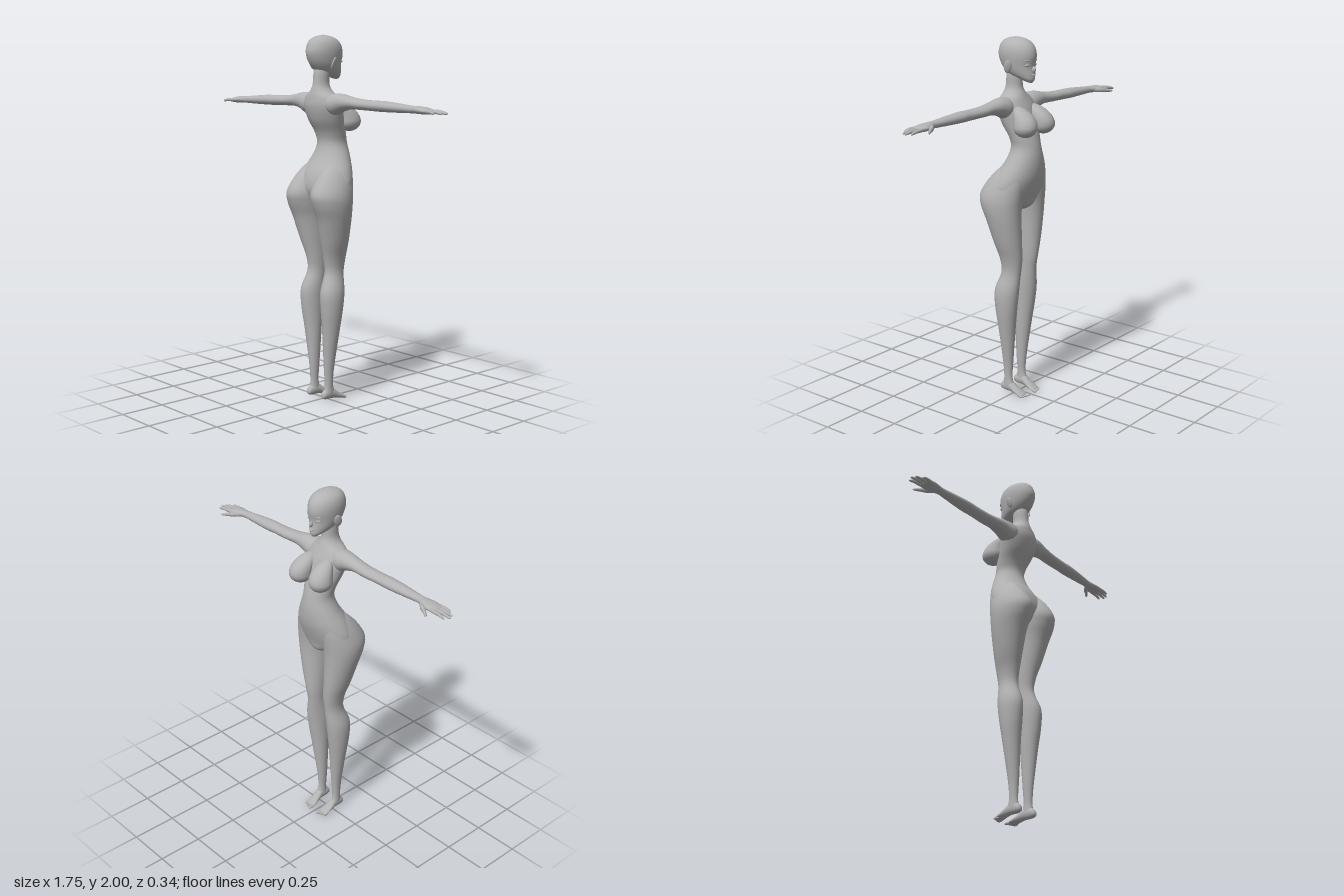
import * as THREE from 'three';

const skin = new THREE.MeshStandardMaterial({ color: 0xb2b2b2 });
skin.name = 'plain grey';

// Smooth interpolation between four neighbouring rows
const spline = (a, b, c, d, t) =>
  0.5 * (2 * b + (c - a) * t + (2 * a - 5 * b + 4 * c - d) * t * t + (3 * b - a - 3 * c + d) * t * t * t);

// Skin oval sections along an axis. Row: [position, a0, a1, b0, b1], the box each oval fills.
// order names the axes of (position, a, b); side = -1 mirrors in x.
function loft(order, rows, side = 1, sides = 28, steps = 5) {
  const axis = [...order].map(c => 'xyz'.indexOf(c));
  const sections = [];
  const row = i => rows[Math.min(Math.max(i, 0), rows.length - 1)];
  for (let i = 0; i < rows.length - 1; i++)
    for (let s = 0; s < steps; s++)
      sections.push(row(i).map((_, k) => spline(row(i - 1)[k], row(i)[k], row(i + 1)[k], row(i + 2)[k], s / steps)));
  sections.push(row(rows.length));

  const pos = [], index = [];
  const put = (t, a, b) => {
    const p = [0, 0, 0];
    p[axis[0]] = t; p[axis[1]] = a; p[axis[2]] = b;
    pos.push(p[0] * side, p[1], p[2]);
  };
  for (const [t, a0, a1, b0, b1] of sections)
    for (let j = 0; j < sides; j++) {
      const u = j / sides * Math.PI * 2;
      put(t, (a0 + a1) / 2 + Math.cos(u) * (a1 - a0) / 2, (b0 + b1) / 2 + Math.sin(u) * (b1 - b0) / 2);
    }
  const last = sections.length - 1, pole = sections.length * sides;
  for (const [t, a0, a1, b0, b1] of [sections[0], sections[last]]) put(t, (a0 + a1) / 2, (b0 + b1) / 2);
  for (let j = 0; j < sides; j++) {
    const k = (j + 1) % sides;
    for (let i = 0; i < last; i++) {
      const a = i * sides + j, b = i * sides + k, c = a + sides, d = b + sides;
      index.push(a, b, c, b, d, c);
    }
    index.push(pole, k, j, pole + 1, last * sides + j, last * sides + k);
  }

  // Face outwards whichever way the rows run
  let volume = 0;
  const v = i => new THREE.Vector3().fromArray(pos, i * 3);
  for (let i = 0; i < index.length; i += 3)
    volume += v(index[i]).dot(v(index[i + 1]).cross(v(index[i + 2])));
  if (volume < 0) index.reverse();

  const g = new THREE.BufferGeometry();
  g.setAttribute('position', new THREE.Float32BufferAttribute(pos, 3));
  g.setIndex(index);
  g.computeVertexNormals();
  return g;
}

export function createModel() {
  const model = new THREE.Group();
  model.name = 'figure';
  const add = (name, geometry) => {
    const m = new THREE.Mesh(geometry, skin);
    m.name = name;
    model.add(m);
    return m;
  };
  const oval = (name, p, r, tilt = [0, 0, 0]) => {
    const m = add(name, new THREE.SphereGeometry(1, 24, 16));
    m.position.set(...p); m.scale.set(...r); m.rotation.set(...tilt);
    return m;
  };
  const symmetric = rows => rows.map(([y, w, front, back]) => [y, -w, w, front, back]);

  // Torso and neck, the figure faces -z
  add('torso', loft('yxz', symmetric([
    [1.075, 0.015, -0.04, 0.03], [1.1, 0.07, -0.08, 0.08], [1.15, 0.15, -0.095, 0.108],
    [1.2, 0.178, -0.112, 0.118], [1.27, 0.157, -0.132, 0.1], [1.35, 0.115, -0.138, 0.05],
    [1.42, 0.086, -0.13, 0.026], [1.48, 0.093, -0.115, 0.037], [1.55, 0.112, -0.092, 0.075],
    [1.62, 0.126, -0.07, 0.095], [1.67, 0.11, -0.048, 0.093], [1.705, 0.062, -0.033, 0.086],
    [1.74, 0.042, -0.02, 0.076], [1.8, 0.04, -0.02, 0.07], [1.84, 0.035, -0.02, 0.06],
  ]), 1, 40));

  // Head and face
  add('head', loft('yxz', symmetric([
    [1.766, 0.012, -0.092, -0.065], [1.783, 0.034, -0.101, -0.02], [1.81, 0.056, -0.101, 0.055],
    [1.85, 0.071, -0.098, 0.095], [1.9, 0.079, -0.106, 0.116], [1.94, 0.077, -0.099, 0.112],
    [1.97, 0.064, -0.078, 0.097], [1.99, 0.038, -0.042, 0.068], [2, 0.004, 0.01, 0.02],
  ]), 1, 40));
  oval('nose', [0, 1.836, -0.101], [0.009, 0.016, 0.014], [-0.35, 0, 0]);
  oval('upperLip', [0, 1.809, -0.1], [0.016, 0.004, 0.007]);
  oval('lowerLip', [0, 1.802, -0.099], [0.013, 0.005, 0.007]);

  for (const s of [1, -1]) {
    const side = s > 0 ? 'left' : 'right';
    oval(side + 'Eyelid', [s * 0.032, 1.859, -0.086], [0.016, 0.007, 0.007], [0, s * -0.35, 0]);
    oval(side + 'Brow', [s * 0.032, 1.882, -0.089], [0.02, 0.004, 0.006], [0, s * -0.35, s * 0.1]);
    oval(side + 'Ear', [s * 0.081, 1.85, 0.008], [0.008, 0.036, 0.021], [-0.2, s * 0.4, s * -0.2]);

    // Bust: a ball whose upper half stretches up and back into the chest
    const ball = new THREE.SphereGeometry(1, 32, 24), p = ball.attributes.position;
    for (let i = 0; i < p.count; i++) {
      const up = Math.max(p.getY(i), 0);
      p.setXYZ(i, p.getX(i) * 0.061 - s * up * 0.012,
        p.getY(i) * 0.056 + up * 0.045, p.getZ(i) * 0.066 + up * up * 0.06);
    }
    ball.computeVertexNormals();
    add(side + 'Breast', ball).position.set(s * 0.077, 1.543, -0.106);

    // Arm from shoulder to palm
    add(side + 'Arm', loft('xyz', [
      [0.04, 1.61, 1.68, -0.02, 0.07], [0.1, 1.578, 1.693, -0.04, 0.076], [0.16, 1.6, 1.692, -0.036, 0.063],
      [0.22, 1.614, 1.68, -0.029, 0.054], [0.3, 1.614, 1.67, -0.03, 0.05], [0.4, 1.612, 1.667, -0.025, 0.048],
      [0.46, 1.611, 1.667, -0.027, 0.049], [0.56, 1.612, 1.66, -0.02, 0.044], [0.66, 1.614, 1.652, -0.012, 0.036],
      [0.7, 1.613, 1.651, -0.025, 0.041], [0.74, 1.612, 1.648, -0.033, 0.048], [0.775, 1.614, 1.64, -0.03, 0.047],
      [0.79, 1.62, 1.634, -0.02, 0.038],
    ], s));

    // Fingers: tip reach and sideways place
    const fingers = [[0.86, -0.024, -0.028], [0.875, -0.002, -0.003], [0.866, 0.019, 0.02], [0.835, 0.039, 0.043]];
    const digit = (name, path) => add(name, loft('xyz', path.map(([x, y, z, r]) =>
      [x, y - r, y + r, z - r, z + r]), s, 12, 3));
    fingers.forEach(([tip, z0, z1], i) => digit(side + 'Finger' + (i + 1), [
      [0.75, 1.629, z0, 0.008], [0.79, 1.628, z0, 0.0095], [(0.79 + tip) / 2, 1.626, (z0 + z1) / 2, 0.008],
      [tip - 0.008, 1.621, z1, 0.006], [tip, 1.62, z1, 0.001],
    ]));
    digit(side + 'Thumb', [
      [0.685, 1.63, -0.005, 0.012], [0.715, 1.628, -0.03, 0.014], [0.745, 1.624, -0.047, 0.011],
      [0.775, 1.62, -0.067, 0.007], [0.786, 1.619, -0.074, 0.001],
    ]);

    // Leg from hip to ankle, including the buttock
    add(side + 'Leg', loft('yxz', [
      [1.33, 0.05, 0.1, -0.08, 0.03], [1.29, 0.03, 0.14, -0.1, 0.075], [1.23, 0.008, 0.172, -0.1, 0.128],
      [1.16, 0, 0.194, -0.09, 0.166], [1.1, 0.004, 0.197, -0.082, 0.156], [1.02, 0.012, 0.184, -0.078, 0.123],
      [0.9, 0.016, 0.154, -0.076, 0.089], [0.8, 0.02, 0.122, -0.072, 0.062], [0.72, 0.024, 0.114, -0.062, 0.055],
      [0.62, 0.022, 0.137, -0.055, 0.09], [0.52, 0.024, 0.136, -0.043, 0.087], [0.4, 0.027, 0.12, -0.027, 0.072],
      [0.2, 0.034, 0.088, -0.006, 0.056], [0.1, 0.04, 0.08, 0, 0.05], [0.05, 0.038, 0.081, -0.012, 0.056],
      [0.03, 0.042, 0.076, -0.005, 0.05],
    ], s));

    // Foot and toes
    add(side + 'Foot', loft('zxy', [
      [0.074, 0.052, 0.068, 0.028, 0.042], [0.066, 0.043, 0.076, 0.02, 0.058], [0.045, 0.038, 0.08, 0.015, 0.072],
      [0.005, 0.036, 0.081, 0.014, 0.074], [-0.03, 0.03, 0.084, 0.008, 0.05], [-0.062, 0.023, 0.086, 0.002, 0.028],
      [-0.082, 0.026, 0.083, 0.002, 0.016],
    ], s));
    for (let i = 0; i < 5; i++)
      oval(side + 'Toe' + (i + 1), [s * (0.031 + i * 0.012), 0.008, -0.088 + i * 0.004],
        [i ? 0.006 : 0.009, i ? 0.007 : 0.008, 0.018]);
  }
  return model;
}
